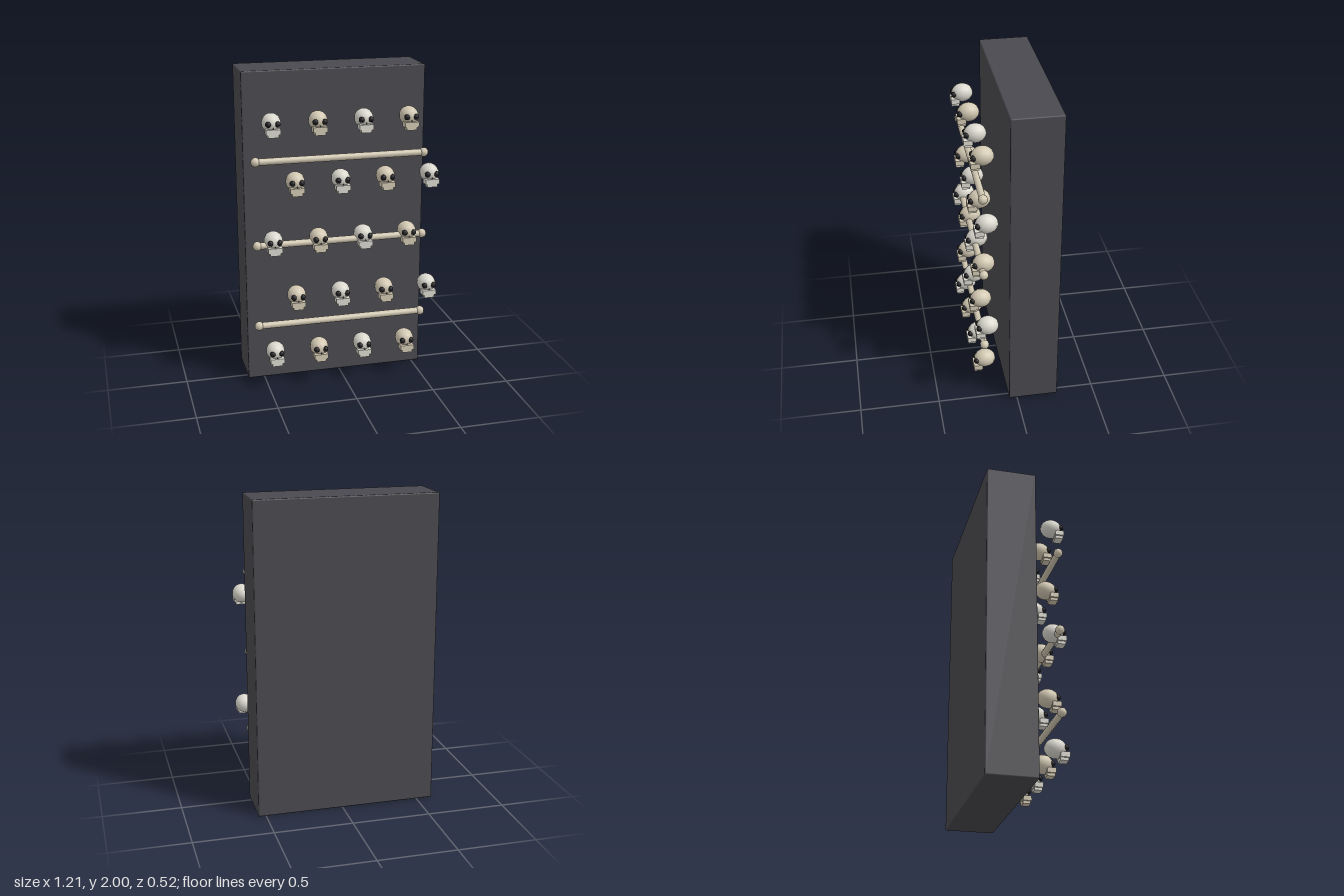
import * as THREE from 'three';
import { RoundedBoxGeometry } from 'three/addons/geometries/RoundedBoxGeometry.js';

const material = (color) => new THREE.MeshStandardMaterial({ color });

const stone = material(0x4a494f);
const paleBone = material(0xdad8ce);
const tanBone = material(0xd2c8b2);
const socketDark = material(0x1c1c1f);

function part(parent, name, geometry, mat, x = 0, y = 0, z = 0) {
  const mesh = new THREE.Mesh(geometry, mat);
  mesh.name = name;
  mesh.position.set(x, y, z);
  parent.add(mesh);
  return mesh;
}

// Shared geometries
const craniumGeo = new THREE.SphereGeometry(0.059, 14, 10).scale(1, 1, 1.15);
const socketGeo = new THREE.SphereGeometry(0.018, 10, 8);
const noseGeo = new THREE.ConeGeometry(0.009, 0.02, 4);
const upperJawGeo = new THREE.BoxGeometry(0.088, 0.032, 0.056);
const lowerJawGeo = new THREE.BoxGeometry(0.064, 0.018, 0.05);
const shaftGeo = new THREE.CylinderGeometry(0.021, 0.021, 1.053, 10).rotateZ(Math.PI / 2);
const knobGeo = new THREE.SphereGeometry(0.029, 10, 8);

// Skull facing +z, origin at the middle of the cranium
function makeSkull(bone) {
  const skull = new THREE.Group();
  skull.name = 'skull';
  part(skull, 'cranium', craniumGeo, bone);
  for (const side of [-1, 1]) {
    part(skull, 'eyeSocket', socketGeo, socketDark, side * 0.028, 0.001, 0.056);
  }
  part(skull, 'noseHole', noseGeo, socketDark, 0, -0.026, 0.066);
  part(skull, 'upperJaw', upperJawGeo, bone, 0, -0.044, 0.047);
  part(skull, 'lowerJaw', lowerJawGeo, bone, 0, -0.069, 0.046);
  return skull;
}

// Long bone with a knob at each end
function makeLongBone() {
  const bone = new THREE.Group();
  bone.name = 'longBone';
  part(bone, 'shaft', shaftGeo, tanBone);
  for (const side of [-1, 1]) part(bone, 'knob', knobGeo, tanBone, side * 0.5265);
  return bone;
}

export function createModel() {
  const model = new THREE.Group();
  model.name = 'boneWall';

  // Backing slab
  part(model, 'wall', new RoundedBoxGeometry(1.152, 2, 0.312, 2, 0.008), stone, -0.028, 1, -0.106);

  // Staggered rows of skulls, alternating pale and tan
  for (let row = 0; row < 5; row++) {
    for (let i = 0; i < 4; i++) {
      const odd = row % 2;
      const skull = makeSkull((i + odd) % 2 ? tanBone : paleBone);
      skull.position.set(-0.451 + odd * 0.141 + i * 0.2845, 0.24 + row * 0.368, 0.186);
      model.add(skull);
    }
  }

  // Horizontal bones
  for (let i = 0; i < 3; i++) {
    const bone = makeLongBone();
    bone.position.set(-0.027, 0.425 + i * 0.5275, 0.2);
    model.add(bone);
  }
  return model;
}
